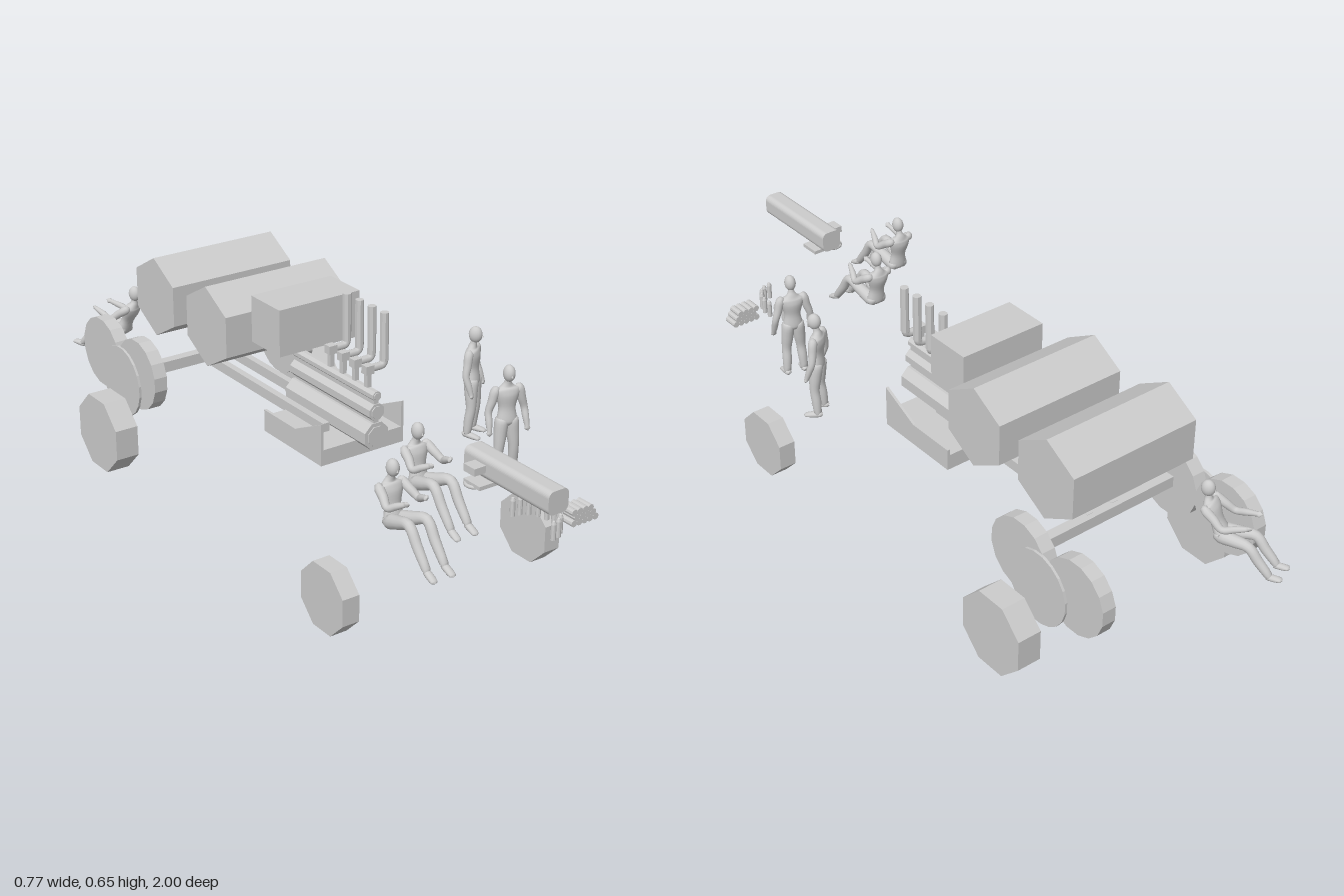
import * as THREE from 'three';

const smooth = new THREE.MeshStandardMaterial({ color: 0xcccccc });
const flat = new THREE.MeshStandardMaterial({ color: 0xcccccc, flatShading: true });
const V = (x, y, z) => new THREE.Vector3(x, y, z);

function add(parent, name, geo, x = 0, y = 0, z = 0, mat = flat) {
  const m = new THREE.Mesh(geo, mat);
  m.name = name;
  m.position.set(x, y, z);
  parent.add(m);
  return m;
}

// Box given by its limits
function box(parent, name, x0, x1, y0, y1, z0, z1) {
  return add(parent, name, new THREE.BoxGeometry(x1 - x0, y1 - y0, z1 - z0),
    (x0 + x1) / 2, (y0 + y1) / 2, (z0 + z1) / 2);
}

// Prism lying along x or z
function prism(r, len, sides, axis, start = Math.PI / sides) {
  const g = new THREE.CylinderGeometry(r, r, len, sides, 1, false, start);
  return axis === 'x' ? g.rotateZ(Math.PI / 2) : axis === 'z' ? g.rotateX(Math.PI / 2) : g;
}

// Smooth loft through stations [x, y, z, halfWidth, halfDepth]
function loft(stations, n = 14) {
  const path = new THREE.CatmullRomCurve3(stations.map(s => V(s[0], s[1], s[2])));
  const size = new THREE.CatmullRomCurve3(stations.map(s => V(s[3], s[4], 0)), false, 'catmullrom', 0.4);
  const steps = (stations.length - 1) * 4, pos = [], idx = [];
  let side = V(1, 0, 0);
  for (let i = 0; i <= steps; i++) {
    const t = i / steps, c = path.getPoint(t), s = size.getPoint(t), T = path.getTangent(t);
    side = side.clone().addScaledVector(T, -side.dot(T)).normalize();
    const D = T.clone().cross(side);
    for (let j = 0; j < n; j++) {
      const a = j / n * Math.PI * 2;
      const p = c.clone().addScaledVector(side, Math.cos(a) * Math.max(s.x, 0.0004))
        .addScaledVector(D, Math.sin(a) * Math.max(s.y, 0.0004));
      pos.push(p.x, p.y, p.z);
      if (i < steps) {
        const k = (j + 1) % n, q = i * n;
        idx.push(q + j, q + k, q + n + k, q + j, q + n + k, q + n + j);
      }
    }
  }
  const g = new THREE.BufferGeometry();
  g.setAttribute('position', new THREE.Float32BufferAttribute(pos, 3));
  g.setIndex(idx);
  g.computeVertexNormals();
  return g;
}

// Person facing +z; pose points are [x, y, z], x measured outward from the middle
function person(parent, name, pose, x, y, z, yaw) {
  const g = new THREE.Group();
  g.name = name;
  g.position.set(x, y, z);
  g.rotation.y = yaw;
  parent.add(g);
  const { hip, chest, head } = pose;
  const mix = (a, b, t) => a.map((v, i) => v + (b[i] - v) * t);
  const up = mix(hip, chest, 1.1);
  add(g, 'torso', loft([
    [...mix(hip, chest, -0.25), 0.004, 0.004], [...mix(hip, chest, -0.12), 0.024, 0.016],
    [...hip, 0.028, 0.019], [...mix(hip, chest, 0.4), 0.023, 0.016],
    [...mix(hip, chest, 0.8), 0.032, 0.02], [...chest, 0.034, 0.017],
    [...up, 0.018, 0.012], [...mix(up, head, 0.35), 0.009, 0.009], [...head, 0.008, 0.008]], 18), 0, 0, 0, smooth);
  const skull = add(g, 'head', new THREE.SphereGeometry(1, 18, 14), ...head, smooth);
  skull.scale.set(0.0155, 0.0225, 0.0185);
  add(g, 'nose', new THREE.ConeGeometry(0.003, 0.007, 6), head[0], head[1] - 0.002, head[2] + 0.019, smooth);
  for (const s of [-1, 1]) {
    const at = (p, w, d = w) => [p[0] * s, p[1], p[2], w, d];
    const { elbow, hand, knee, ankle, toe } = pose;
    const shoulder = [0.032, chest[1], chest[2]], top = [0.014, hip[1], hip[2]];
    const over = mix(elbow, hand, 1.25);
    add(g, 'arm', loft([at([0.022, shoulder[1] + 0.003, shoulder[2]], 0.003), at(shoulder, 0.012),
      at(mix(shoulder, elbow, 0.5), 0.0115), at(elbow, 0.0095), at(mix(elbow, hand, 0.5), 0.009),
      at(hand, 0.0065), at(mix(hand, over, 0.5), 0.008, 0.005), at(over, 0.001)], 12), 0, 0, 0, smooth);
    add(g, 'leg', loft([at([0.012, top[1] + 0.012, top[2]], 0.004), at(top, 0.017, 0.019),
      at(mix(top, knee, 0.5), 0.017), at(knee, 0.0135), at(mix(knee, ankle, 0.45), 0.013),
      at(ankle, 0.0095), at(mix(ankle, toe, -0.1), 0.001)], 14), 0, 0, 0, smooth);
    add(g, 'foot', loft([at(mix(ankle, toe, -0.35), 0.002), at(mix(ankle, toe, -0.15), 0.009, 0.008),
      at(mix(ankle, toe, 0.5), 0.0105, 0.008), at(toe, 0.009, 0.005),
      at(mix(ankle, toe, 1.15), 0.001)], 12), 0, 0, 0, smooth);
  }
}

export function createModel() {
  const root = new THREE.Group();
  root.name = 'vehicleLayout';

  // Road wheels and rear discs, mirrored
  const c8 = Math.cos(Math.PI / 8);
  for (const s of [-1, 1]) {
    add(root, 'frontWheel', prism(0.09 / c8, 0.05, 8, 'x'), s * 0.325, 0.09, 0.47);
    add(root, 'rearWheel', prism(0.1075 / c8, 0.07, 8, 'x'), s * 0.35, 0.1375, -0.6);
    add(root, 'driveDisc', prism(0.105, 0.04, 16, 'x'), s * 0.25, 0.305, -0.565);
    add(root, 'driveDisc', prism(0.105, 0.04, 16, 'x'), s * 0.25, 0.305, -0.77);
    add(root, 'brakeDisc', prism(0.105, 0.008, 20, 'x'), s * 0.273, 0.258, -0.645);
    box(root, 'frameRail', s * 0.04 - 0.01, s * 0.04 + 0.01, 0.295, 0.325, -0.57, 0.05);
  }
  box(root, 'rearAxle', -0.24, 0.24, 0.292, 0.324, -0.585, -0.555);

  // Tanks and cabinet
  for (const z of [-0.31, -0.585])
    add(root, 'tank', prism(0.117, 0.395, 6, 'x', Math.PI / 6), 0.01, 0.517, z);
  box(root, 'cabinet', -0.12, 0.14, 0.5, 0.633, -0.185, -0.05);

  // Tray with sloping side walls
  box(root, 'trayFloor', -0.12, 0.15, 0.255, 0.3, -0.13, 0.14);
  const side = new THREE.Shape([[-0.13, 0.256], [0.14, 0.256], [0.14, 0.375], [0.02, 0.318], [-0.13, 0.318]]
    .map(p => new THREE.Vector2(...p)));
  const wall = new THREE.ExtrudeGeometry(side, { depth: 0.008, bevelEnabled: false }).rotateY(-Math.PI / 2);
  for (const x of [-0.112, 0.15]) add(root, 'trayWall', wall, x, 0, 0);

  // Engine: stacked octagonal tubes joined by webs
  for (const [y, r] of [[0.328, 0.041], [0.397, 0.025], [0.442, 0.0145]]) {
    add(root, 'engineTube', prism(r, 0.37, 8, 'z'), 0.018, y, 0.012);
    add(root, 'engineTubeCore', prism(r * 0.72, 0.376, 8, 'z'), 0.018, y, 0.012);
  }
  box(root, 'engineWeb', 0.01, 0.026, 0.33, 0.44, -0.17, 0.194);

  // Exhaust stacks
  for (const z of [0.155, 0.1, 0.045, -0.012]) {
    box(root, 'exhaustPort', 0.012, 0.025, 0.445, 0.505, z - 0.007, z + 0.007);
    box(root, 'exhaustCap', 0.006, 0.031, 0.493, 0.517, z - 0.012, z + 0.012);
    const bend = new THREE.CurvePath();
    bend.add(new THREE.LineCurve3(V(0.02, 0.505, z), V(0.055, 0.505, z)));
    bend.add(new THREE.QuadraticBezierCurve3(V(0.055, 0.505, z), V(0.071, 0.505, z), V(0.071, 0.521, z)));
    add(root, 'exhaustElbow', new THREE.TubeGeometry(bend, 16, 0.011, 8), 0, 0, 0, smooth);
    add(root, 'exhaustStack', prism(0.012, 0.135, 8, 'y'), 0.071, 0.585, z);
  }

  // Long barrel housing with grip and bracket
  const barrel = new THREE.Shape();
  const w = 0.03, r = 0.016;
  barrel.moveTo(-w + r, -w);
  for (const [sx, sy, a] of [[1, -1, -0.5], [1, 1, 0], [-1, 1, 0.5], [-1, -1, 1]])
    barrel.absarc(sx * (w - r), sy * (w - r), r, a * Math.PI, (a + 0.5) * Math.PI, false);
  add(root, 'barrelHousing', new THREE.ExtrudeGeometry(barrel, { depth: 0.3, bevelEnabled: false, curveSegments: 4 }),
    -0.07, 0.501, 0.7);
  box(root, 'sideGrip', -0.134, -0.095, 0.492, 0.511, 0.74, 0.78);
  box(root, 'bracket', -0.125, -0.03, 0.456, 0.466, 0.73, 0.79);
  box(root, 'bracketPost', -0.085, -0.06, 0.456, 0.48, 0.74, 0.78);
  const ring = add(root, 'gripRing', new THREE.TorusGeometry(0.024, 0.005, 8, 20), -0.105, 0.455, 0.75, smooth);
  ring.rotation.x = Math.PI / 2;

  // Loose cylinders: a standing arc and a stacked pile
  const profile = [[0, 0], [0.007, 0], [0.007, 0.042], [0.004, 0.05], [0, 0.052]].map(p => new THREE.Vector2(...p));
  for (let i = 0; i < 10; i++) {
    const a = -Math.PI / 2 + i / 9 * Math.PI;
    add(root, 'standingShell', new THREE.LatheGeometry(profile, 10), 0.065 + 0.058 * Math.cos(a), 0.292, 0.768 + 0.075 * Math.sin(a));
  }
  [5, 4, 4].forEach((n, row) => {
    for (let i = 0; i < n; i++)
      add(root, 'stackedShell', prism(0.0092, 0.045, 10, 'z'), 0.158 + i * 0.0175 + (row % 2) * 0.009, 0.294 + row * 0.0145, 0.793);
  });

  // People
  const seated = {
    hip: [0, 0.375, 0.015], chest: [0, 0.46, 0], head: [0, 0.505, 0.008],
    elbow: [0.046, 0.43, 0.05], hand: [0.03, 0.453, 0.095],
    knee: [0.026, 0.403, 0.108], ankle: [0.026, 0.312, 0.178], toe: [0.027, 0.3, 0.207],
  };
  person(root, 'seatedLeftPerson', seated, -0.275, 0, 0.645, 0);
  person(root, 'seatedMiddlePerson', seated, -0.105, 0, 0.52, 0);
  const standing = {
    hip: [0, 0.165, 0], chest: [0, 0.248, -0.003], head: [0, 0.293, 0.004],
    elbow: [0.05, 0.19, -0.004], hand: [0.053, 0.142, 0.012],
    knee: [0.021, 0.088, 0.004], ankle: [0.025, 0.014, -0.006], toe: [0.028, 0.007, 0.03],
  };
  person(root, 'standingFrontPerson', standing, 0.215, 0.27, 0.485, -0.25);
  person(root, 'standingBackPerson', standing, 0.285, 0.283, 0.262, 0.6);
  const reclined = {
    hip: [0, 0.335, 0.045], chest: [0, 0.41, 0.008], head: [0, 0.452, 0],
    elbow: [0.045, 0.375, 0.06], hand: [0.035, 0.392, 0.118],
    knee: [0.026, 0.333, 0.125], ankle: [0.026, 0.263, 0.185], toe: [0.026, 0.265, 0.215],
  };
  person(root, 'rearSeatedPerson', reclined, -0.14, 0, -0.79, -2.74);

  return root;
}
